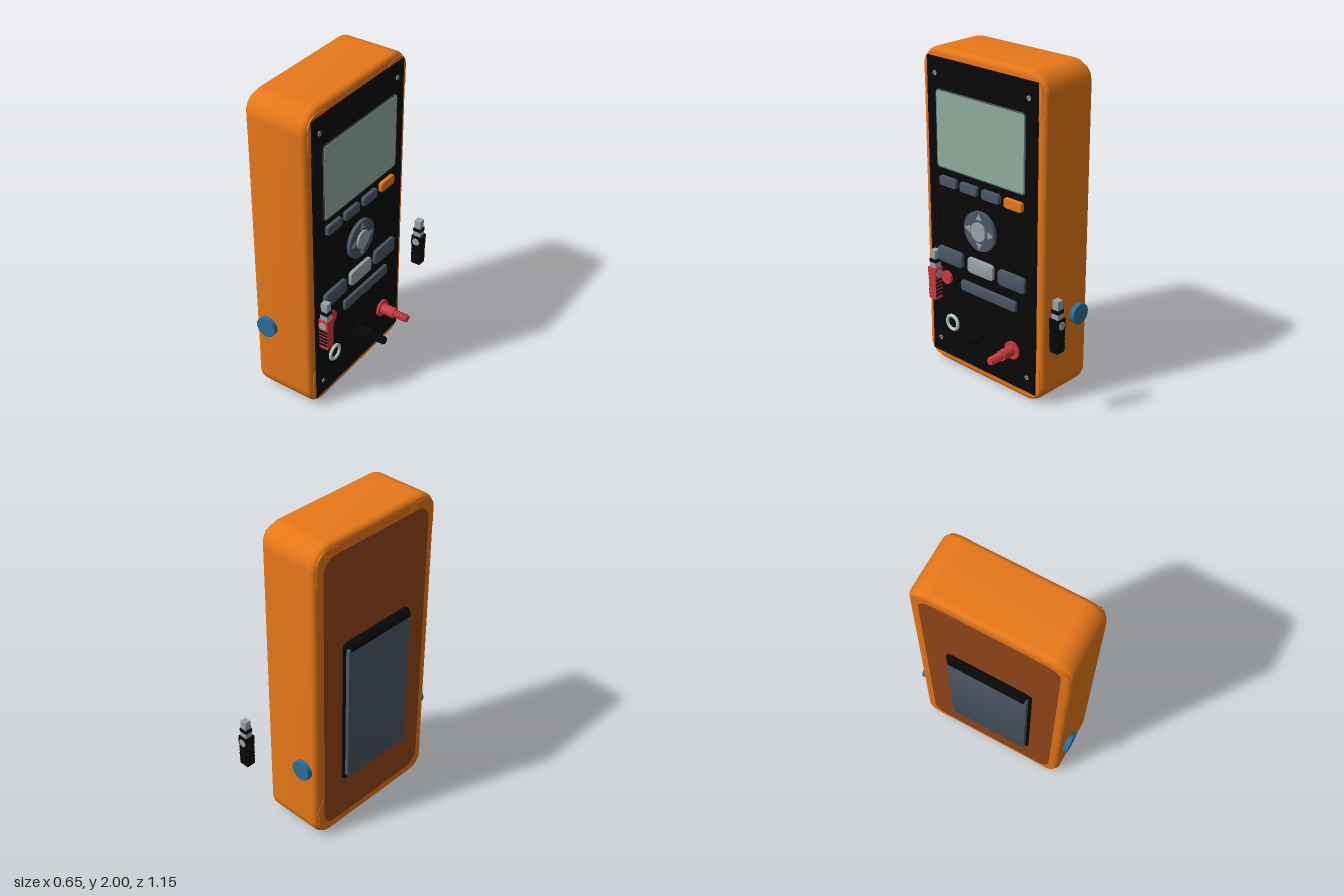
import * as THREE from 'three';
import { toCreasedNormals } from 'three/addons/utils/BufferGeometryUtils.js';

const mat = (name, color) => {
  const m = new THREE.MeshStandardMaterial({ color });
  m.name = name;
  return m;
};

export function createModel() {
  const orange = mat('orange', 0xe87819), black = mat('black', 0x080808), slate = mat('slate', 0x4b5663);
  const grey = mat('light grey', 0x9aa3a6), screenGreen = mat('screen green', 0x91ad9f);
  const red = mat('red', 0xcb3a3c), blue = mat('blue', 0x2b7099), brown = mat('brown', 0x94451a);
  const pale = mat('pale green', 0xb4d0c0);

  // Built with the face towards local +z, then turned so it faces +x
  const root = new THREE.Group();
  root.name = 'handheldMeter';
  const meter = new THREE.Group();
  meter.name = 'meter';
  meter.rotation.y = Math.PI / 2;
  root.add(meter);

  const add = (name, geo, material, x = 0, y = 0, z = 0, parent = meter) => {
    const m = new THREE.Mesh(geo, material);
    m.name = name;
    m.position.set(x, y, z);
    parent.add(m);
    return m;
  };
  // Rounded plate from depth z0 to z1, edges bevelled by b
  const plate = (name, material, x, y, w, h, r, z0, z1, b = 0) => {
    const s = new THREE.Shape(), a = w / 2 - b, c = h / 2 - b, q = Math.max(r - b, 0.002);
    s.moveTo(-a + q, -c);
    s.lineTo(a - q, -c);
    s.absarc(a - q, -c + q, q, -Math.PI / 2, 0);
    s.absarc(a - q, c - q, q, 0, Math.PI / 2);
    s.absarc(-a + q, c - q, q, Math.PI / 2, Math.PI);
    s.absarc(-a + q, -c + q, q, Math.PI, Math.PI * 1.5);
    const geo = new THREE.ExtrudeGeometry(s, {
      depth: z1 - z0 - 2 * b, bevelEnabled: b > 0, bevelSize: b, bevelThickness: b, bevelSegments: 5, curveSegments: 10,
    });
    geo.translate(0, 0, b);
    return add(name, toCreasedNormals(geo, 0.6), material, x, y, z0);
  };
  // Disc along the depth axis
  const disc = (name, material, x, y, r, z0, z1) => {
    const geo = new THREE.CylinderGeometry(r, r, z1 - z0, 32).rotateX(Math.PI / 2);
    return add(name, geo, material, x, y, (z0 + z1) / 2);
  };
  const CX = -0.0725;

  // Case, face panel and back panel
  plate('case', orange, CX, 1, 0.95, 2, 0.13, -0.27, 0.121, 0.035);
  plate('facePanel', black, CX, 1.002, 0.852, 1.888, 0.002, 0.119, 0.128);
  plate('backPanel', brown, CX, 1, 0.82, 1.85, 0.09, -0.275, -0.265);

  // Corner guards under the front and back panels
  for (const sx of [-1, 1]) for (const sy of [-1, 1]) for (const z of [-0.272, 0.085])
    plate('cornerGuard', orange, CX + sx * 0.352, 1 + sy * 0.84, 0.2, 0.26, 0.08, z, z + 0.038);

  // Display
  plate('screenBezel', black, CX, 1.53, 0.7, 0.475, 0.025, 0.12, 0.136);
  plate('screenFrame', slate, CX, 1.53, 0.695, 0.472, 0.025, 0.13, 0.14);
  plate('screen', screenGreen, CX, 1.53, 0.678, 0.455, 0.016, 0.135, 0.143);

  // Soft keys under the display
  [-0.33, -0.161, 0.013, 0.188].forEach((x, i) =>
    plate('softKey', i === 3 ? orange : slate, x, 1.217, 0.136, 0.06, 0.015, 0.12, 0.15, 0.004));

  // Navigation dial with four arrows
  disc('dial', slate, CX, 0.981, 0.122, 0.12, 0.15);
  disc('dialCentre', grey, CX, 0.981, 0.058, 0.14, 0.162);
  for (let i = 0; i < 4; i++) {
    const t = i * Math.PI / 2;
    add('dialArrow', new THREE.CircleGeometry(0.028, 3, t), grey,
      CX + 0.086 * Math.cos(t), 0.981 + 0.086 * Math.sin(t), 0.152);
  }

  // Main keys, wide key and record button
  [-0.323, CX, 0.175].forEach((x, i) =>
    plate('mainKey', i === 1 ? grey : slate, x, 0.743, 0.206, 0.097, 0.022, 0.12, 0.149, 0.005));
  plate('wideKey', slate, -0.013, 0.589, 0.442, 0.066, 0.014, 0.12, 0.146, 0.004);
  disc('recordButton', red, -0.36, 0.594, 0.041, 0.12, 0.147);

  // Panel screws with slots
  for (const x of [-0.434, 0.288]) for (const y of [0.154, 1.85]) {
    disc('screw', grey, x, y, 0.014, 0.12, 0.132);
    add('screwSlot', new THREE.BoxGeometry(0.022, 0.004, 0.002), black, x, y, 0.132).rotation.z = Math.PI / 4;
  }

  // Empty socket
  add('socketRim', new THREE.TorusGeometry(0.045, 0.011, 12, 40), pale, -0.323, 0.297, 0.133);
  disc('socketHole', black, -0.323, 0.297, 0.038, 0.12, 0.13);

  // Plugs with flange, sleeve and ribbed strain relief
  const profile = [[0, 0.12], [0.055, 0.12], [0.055, 0.142], [0.033, 0.142], [0.033, 0.23], [0.021, 0.23]];
  for (let i = 0; i < 4; i++) {
    const z = 0.243 + i * 0.02;
    profile.push([0.021, z], [0.026, z + 0.003], [0.026, z + 0.009], [0.021, z + 0.012]);
  }
  profile.push([0.021, 0.322], [0, 0.322]);
  const plugGeo = toCreasedNormals(
    new THREE.LatheGeometry(profile.map(p => new THREE.Vector2(...p)), 28).rotateX(Math.PI / 2), 0.5);
  add('blackPlug', plugGeo, black, CX, 0.297);
  add('redPlug', plugGeo, red, 0.175, 0.297);

  // Side knobs
  for (const s of [-1, 1]) {
    const geo = new THREE.CylinderGeometry(0.064, 0.064, 0.05, 40).rotateZ(Math.PI / 2);
    add('sideKnob', geo, blue, CX + s * 0.48, 0.51, -0.175);
  }

  // Folding stand on the back
  plate('standRecess', black, CX, 0.845, 0.53, 0.97, 0.02, -0.288, -0.265);
  plate('standPlate', slate, CX, 0.84, 0.5, 0.92, 0.02, -0.311, -0.28, 0.004);
  add('standHinge', new THREE.CylinderGeometry(0.033, 0.033, 0.475, 24).rotateZ(Math.PI / 2), black, CX, 1.308, -0.292);

  // Spring clips: grip ribbed on both sides, hinge pin and metal jaw
  const clip = (name, material, x) => {
    const g = new THREE.Group();
    g.name = name;
    g.position.set(x, 0, 0.157);
    meter.add(g);
    const box = (n, m, w, d, y0, y1) =>
      add(n, new THREE.BoxGeometry(w, y1 - y0, d), m, 0, (y0 + y1) / 2, 0, g);
    box('grip', material, 0.058, 0.062, 0.44, 0.585);
    for (let i = 0; i < 5; i++) {
      const y = 0.465 + i * 0.024;
      box('gripRib', black, 0.065, 0.06, y, y + 0.011);
    }
    box('gripHead', material, 0.064, 0.066, 0.585, 0.648);
    add('hingePin', new THREE.CylinderGeometry(0.025, 0.025, 0.07, 20).rotateZ(Math.PI / 2), grey, 0, 0.61, 0, g);
    box('jawBase', grey, 0.046, 0.048, 0.64, 0.69);
    box('jawBand', black, 0.05, 0.052, 0.682, 0.704);
    box('jawTip', grey, 0.04, 0.042, 0.7, 0.76);
  };
  clip('redClip', red, -0.4385);
  clip('blackClip', black, 0.54);

  return root;
}
